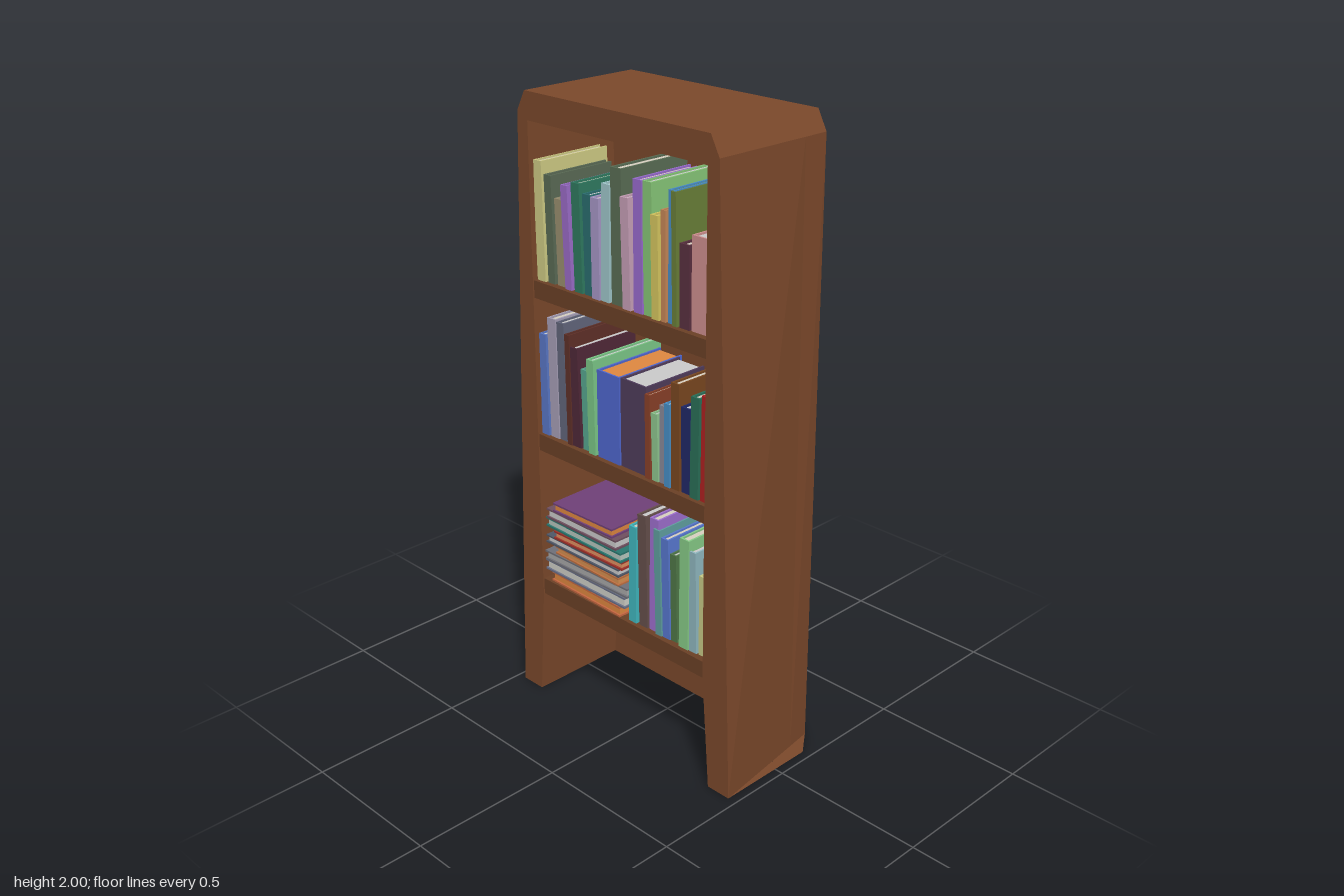
import * as THREE from 'three';

const FRONT = 0.21, BACK = -0.21, PANEL = -0.125;

const mat = (color, side = THREE.FrontSide) => new THREE.MeshStandardMaterial({ color, side, flatShading: true });
const wood = mat(0x7c492b);
const shelfWood = mat(0x6c4026);

function box(name, parent, size, pos, material) {
  const m = new THREE.Mesh(new THREE.BoxGeometry(...size), material);
  m.position.set(...pos);
  m.name = name;
  parent.add(m);
  return m;
}

// Extrudes an outline from z0 to z1, then moves its corners by a rule
function slab(name, points, z0, z1, rule) {
  const shape = new THREE.Shape(points.map(([x, y]) => new THREE.Vector2(x, y)));
  const geo = new THREE.ExtrudeGeometry(shape, { depth: z1 - z0, bevelEnabled: false });
  geo.translate(0, 0, z0);
  const p = geo.attributes.position, v = new THREE.Vector3();
  for (let i = 0; i < p.count; i++) {
    rule(v.fromBufferAttribute(p, i));
    p.setXYZ(i, v.x, v.y, v.z);
  }
  geo.computeVertexNormals();
  const m = new THREE.Mesh(geo, wood);
  m.name = name;
  return m;
}

const mirrored = (half) => [...half, ...half.map(([x, y]) => [-x, y]).reverse()];

// The sides narrow towards the back at floor level
const narrowFoot = (v) => {
  if (v.y < 0.001 && Math.abs(v.x) > 0.46) v.x = Math.sign(v.x) * (0.47 - 0.06 * (FRONT - v.z) / (FRONT - BACK));
};

// Book standing on y = 0 with its spine at z = 0 facing +z
function makeBook(w, h, d, color, pageColor) {
  const book = new THREE.Group();
  book.name = 'book';
  const t = Math.min(0.006, w * 0.2), cover = mat(color);
  box('spine', book, [w, h, t], [0, h / 2, -t / 2], cover);
  for (const s of [-1, 1])
    box('coverBoard', book, [t, h, d - t], [s * (w - t) / 2, h / 2, -(d + t) / 2], cover);
  box('pages', book, [w - 2 * t, h - 0.012, d - t - 0.006], [0, h / 2, -t - (d - t - 0.006) / 2], mat(pageColor));
  return book;
}

// Upright books in thousandths: centre x, thickness, height, lean of the top, colour
const topRow = [
  [-337, 36, 364, -6, 0xd0cc85], [-296, 30, 327, -8, 0x5a6b55], [-256, 32, 263, -8, 0x9a9070],
  [-217, 28, 312, -12, 0x9b6cc8], [-177, 34, 326, -8, 0x2f7a60], [-136, 35, 300, -5, 0x2a6e70],
  [-99, 33, 300, 0, 0xa898c8], [-64, 33, 348, 8, 0xa0c8cc], [-18, 43, 400, 0, 0x5a6e55],
  [30, 32, 326, -8, 0xc8a0b8], [72, 34, 385, 0, 0x9a6cd0], [110, 36, 385, -5, 0x88c878],
  [145, 28, 300, -4, 0xd8c860], [173, 18, 320, 0, 0xc88858], [199, 23, 380, 3, 0x4a90c8],
  [221, 18, 380, -5, 0x6a8038], [255, 38, 242, 0, 0x5a3040], [315, 73, 273, 0, 0xd09090],
];
const middleRow = [
  [-341, 33, 330, -4, 0x5a78c8], [-301, 37, 388, -4, 0xa8a0b8], [-264, 34, 382, -8, 0x62667c],
  [-229, 20, 356, -4, 0x603028], [-201, 38, 320, -10, 0x502838], [-163, 25, 260, -6, 0x58a890],
  [-128, 30, 303, -5, 0x7cc888], [-58, 95, 281, 0, 0x5068d0], [45, 107, 281, 0, 0x503c5c],
  [111, 20, 265, 0, 0x8a4028], [139, 25, 212, -5, 0x90c890], [164, 22, 244, 0, 0x8a8a9a],
  [191, 22, 260, 0, 0x4890c8], [220, 32, 330, 0, 0x7a4820], [261, 36, 265, -4, 0x202868],
  [299, 32, 313, 4, 0x2a7058], [335, 29, 324, 4, 0xb02020],
];
const bottomRow = [
  [42, 31, 329, 3, 0x40b8c0], [86, 36, 377, -6, 0x66504c], [125, 35, 382, 5, 0xa070d0],
  [155, 25, 355, -8, 0x60a0a0], [185, 30, 334, -8, 0x5878d0], [214, 25, 292, -5, 0x507848],
  [260, 37, 366, 3, 0x88cc88], [296, 30, 334, -6, 0x90b8c0], [334, 35, 265, 0, 0xc8cc88],
];
// Lying books from the bottom up: centre x, length, thickness, cover, pages
const stack = [
  [-164, 323, 35, 0xc86840, 0xe08840], [-170, 366, 38, 0x6a7088, 0xd0d0c8],
  [-167, 371, 33, 0x707078, 0xa8a8a8], [-156, 297, 28, 0xc07040, 0xd89050],
  [-180, 334, 28, 0x505868, 0xc8c8c8], [-156, 307, 28, 0xa03028, 0xe09060],
  [-172, 350, 33, 0x2a7870, 0xb8c8c0], [-183, 318, 34, 0x705060, 0xc8c8c8],
  [-178, 265, 31, 0x704078, 0xe08840],
];
const pageColors = [0xd8d0c0, 0xc8c8c8];

export function createModel() {
  const group = new THREE.Group();
  group.name = 'bookcase';

  // Tapered frame with clipped top corners, open at the front and between the feet
  const outer = [[0.47, 0], [0.4, 1.94], [0.368, 2]];
  const inner = [[0.385, 0], [0.358, 0.37], [0.358, 1.915]];
  const ring = [...mirrored(outer), ...mirrored(inner).reverse()];
  group.add(slab('frame', ring, PANEL, FRONT, (v) => {
    narrowFoot(v);
    // ceiling slopes down to the back
    if (Math.abs(v.y - 1.915) < 0.001 && v.z < 0) v.y = 1.855;
  }));
  group.add(slab('backPanel', mirrored(outer), BACK, PANEL, narrowFoot));

  // Thin foot plates on the floor, wider than the narrowed sides
  for (const s of [-1, 1]) {
    const plate = new THREE.BufferGeometry().setFromPoints([
      [0.41, BACK], [0.47, -0.13], [0.47, FRONT],
    ].map(([x, z]) => new THREE.Vector3(s * x, 0, z)));
    plate.computeVertexNormals();
    const foot = new THREE.Mesh(plate, mat(0x7c492b, THREE.DoubleSide));
    foot.name = 'footPlate';
    group.add(foot);
  }

  // Shelves and their books
  const rows = [[0.37, 0.425, bottomRow], [0.88, 0.935, middleRow], [1.38, 1.435, topRow]];
  rows.forEach(([y0, y1, row], r) => {
    const depth = FRONT - 0.004 - PANEL;
    box('shelf', group, [0.718, y1 - y0, depth], [0, (y0 + y1) / 2, PANEL + depth / 2], shelfWood);
    const books = new THREE.Group();
    books.name = 'bookRow';
    row.forEach(([x, w, h, lean, color], i) => {
      const d = 0.22 + 0.02 * ((i * 3 + r) % 4);
      const page = w === 95 ? 0xe08840 : pageColors[(i + r) % 2];
      const book = makeBook(w / 1000, h / 1000, d, color, page);
      book.position.set(x / 1000, y1, 0.193 - 0.004 * (i % 3));
      book.rotation.z = -Math.atan2(lean, h);
      books.add(book);
    });
    group.add(books);
  });

  // Stack of lying books, page edges to the front
  const pile = new THREE.Group();
  pile.name = 'bookStack';
  let y = 0.425;
  stack.forEach(([x, len, w, color, page], i) => {
    const holder = new THREE.Group();
    holder.name = 'lyingBook';
    const d = 0.27, book = makeBook(w / 1000, len / 1000, d, color, page);
    book.rotation.z = Math.PI / 2;
    book.position.set(len / 2000, 0, d / 2);
    holder.add(book);
    holder.position.set(x / 1000, y + w / 2000, 0.065);
    holder.rotation.y = Math.PI + 0.02 * ((i % 3) - 1);
    pile.add(holder);
    y += w / 1000;
  });
  group.add(pile);
  return group;
}
